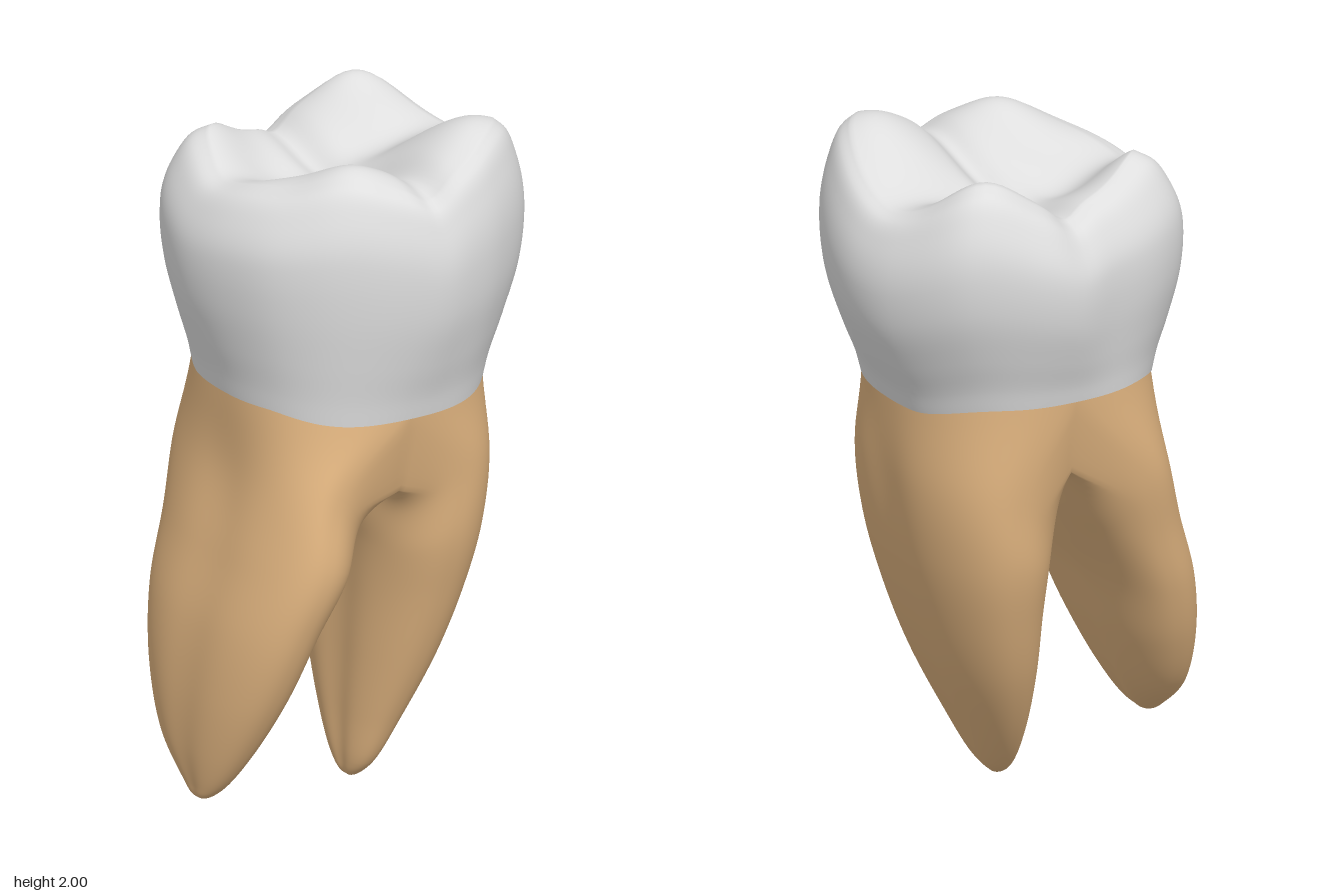
import * as THREE from 'three';
import { mergeGeometries, mergeVertices } from 'three/addons/utils/BufferGeometryUtils.js';

const V = (x, y, z) => new THREE.Vector3(x, y, z);
const { lerp, smoothstep } = THREE.MathUtils;
const pw = (v, e = 0.85) => Math.sign(v) * Math.abs(v) ** e;
const bump = (x, z, cx, cz, sx, sz = sx) =>
  Math.exp(-((x - cx) ** 2) / (2 * sx * sx) - ((z - cz) ** 2) / (2 * sz * sz));

// Skin over closed rings listed from top to bottom, counterclockwise seen from above
function skin(rows) {
  const n = rows[0].length, pos = [], idx = [];
  rows.forEach(r => r.forEach(p => pos.push(p.x, p.y, p.z)));
  for (let i = 0; i < rows.length - 1; i++) {
    for (let j = 0; j < n; j++) {
      const a = i * n + j, b = i * n + (j + 1) % n;
      idx.push(a, a + n, b + n, a, b + n, b);
    }
  }
  const g = new THREE.BufferGeometry();
  g.setAttribute('position', new THREE.Float32BufferAttribute(pos, 3));
  g.setIndex(idx);
  return g;
}

function smooth(g) {
  const m = mergeVertices(g, 1e-4);
  m.computeVertexNormals();
  return m;
}

// Turn columns of control points into rings by running a spline down each column
function ringsFromColumns(columns, steps) {
  const lines = columns.map(c => new THREE.CatmullRomCurve3(c, false, 'centripetal').getPoints(steps));
  return Array.from({ length: steps + 1 }, (_, i) => lines.map(l => l[i]));
}

// Neck line where crown and roots meet: dips at the front, rises at the back
const neck = (c, s, grow = 1) => V(
  0.02 + 0.39 * grow * pw(c),
  1.245 - 0.037 * smoothstep(s, 0.4, 1) + 0.045 * smoothstep(-s, 0.25, 0.9),
  0.4 * grow * pw(s));

// Height of the chewing surface: four cusps, marginal ridge, grooves and pits
function chewHeight(x, z, q) {
  let h = 1.8 + 0.055 * smoothstep(q, 0.15, 0.75);
  h += 0.146 * bump(x, z, 0.33, 0.25, 0.16, 0.15);
  h += 0.122 * bump(x, z, 0.27, -0.31, 0.11, 0.095);
  h += 0.1 * bump(x, z, -0.1, 0.26, 0.105);
  h += 0.1 * bump(x, z, -0.28, -0.27, 0.105);
  // ridges running from the cusps towards the middle
  h += 0.035 * bump(x, z, 0.2, 0.08, 0.1) + 0.03 * bump(x, z, -0.18, 0.09, 0.12, 0.08);
  // main groove, cross groove and pit
  const gx = 0.06 + 0.03 * Math.sin(z * 5);
  h -= 0.035 * Math.exp(-(((x - gx) / 0.05) ** 2));
  h -= 0.012 * Math.exp(-(((z + 0.08) / 0.08) ** 2)) * (1 - Math.exp(-(((x - gx) / 0.1) ** 2)));
  return h - 0.018 * bump(x, z, -0.14, -0.1, 0.1);
}

function crownGeometry() {
  // widest outline as x, z pairs
  const outline = [
    [0.55, -0.03], [0.52, -0.2], [0.4, -0.39], [0.22, -0.47], [0.07, -0.49], [-0.1, -0.44], [-0.28, -0.385],
    [-0.38, -0.31], [-0.43, -0.18], [-0.45, -0.05], [-0.43, 0.1], [-0.37, 0.25], [-0.27, 0.36], [-0.15, 0.43],
    [0, 0.475], [0.08, 0.485], [0.2, 0.465], [0.31, 0.42], [0.45, 0.31], [0.525, 0.15]];
  const curve = new THREE.CatmullRomCurve3(outline.map(([x, z]) => V(x, 0, z)), true);
  const N = 120, center = V(0.05, 0, 0), columns = [], spokes = [];
  // upper wall [height fraction, blend rim to outline], lower wall [height fraction, blend neck to outline]
  const upper = [[0.955, 0.42], [0.86, 0.73], [0.75, 0.94]];
  const lower = [[0.63, 1], [0.45, 0.88], [0.25, 0.5], [0.1, 0.16], [0, 0]];
  for (let j = 0; j < N; j++) {
    const p = curve.getPoint(j / N), a = Math.atan2(p.z, p.x - center.x);
    const base = neck(Math.cos(a), Math.sin(a), 1.008);
    // the chewing surface reaches further out at the front than at the back
    const rim = 0.78 + 0.045 * Math.sin(a) + 0.025 * Math.cos(a) - 0.08 * Math.max(0, Math.cos(a - 2.5)) ** 4;
    const at = q => center.clone().lerp(p, q);
    const r = at(rim);
    r.y = chewHeight(r.x, r.z, rim);
    const rise = f => base.y + f * (r.y - base.y);
    columns.push([
      r.clone(),
      ...upper.map(([f, k]) => at(lerp(rim, 1, k)).setY(rise(f))),
      ...lower.map(([f, w]) => base.clone().lerp(p, w).setY(rise(f)))]);
    spokes.push({ at, rim });
  }
  const rows = [];
  for (let i = 0; i < 36; i++) {
    rows.push(spokes.map(({ at, rim }) => {
      const q = rim * i / 36, p = at(q);
      return p.setY(chewHeight(p.x, p.z, q));
    }));
  }
  return smooth(skin([...rows, ...ringsFromColumns(columns, 40)]));
}

// One root: side is +1 or -1, sections are [outer y, inner y, x min, x max, z min, z max]
function rootGeometry(side, sections, tip) {
  const N = 120, columns = [];
  for (let j = 0; j < N; j++) {
    const t = j / N * Math.PI * 2, c = Math.cos(t), s = -side * Math.sin(t);
    // top ring: the neck outside, the arch between the roots inside
    const start = c > -1e-9 ? neck(side * Math.max(c, 0), s) : neck(0, s);
    if (c < -1e-9) {
      const lip = Math.min(1, -c / 0.28);
      start.x += 0.035 * Math.max(c, -lip);
      start.y -= 0.21 * lip - 0.08 * c;
      start.z *= 1 - 0.08 * lip;
    }
    const column = [start];
    for (const [yOut, yIn, x0, x1, z0, z1] of sections) {
      // flute down the broad faces
      const waist = 1.04 - (c > 0 ? 0.085 : 0.15) * Math.exp(-(((s - 0.08) / 0.3) ** 2));
      column.push(V(
        (x0 + x1) / 2 + side * (x1 - x0) / 2 * pw(c, 0.9) * waist,
        lerp(yOut, yIn, smoothstep(-c, -0.3, 0.8)),
        (z0 + z1) / 2 + (z1 - z0) / 2 * pw(s, 0.95)));
    }
    column.push(V(...tip));
    columns.push(column);
  }
  return skin(ringsFromColumns(columns, 60));
}

export function createModel() {
  const enamel = new THREE.MeshStandardMaterial({ color: 0xdedede });
  enamel.name = 'enamel';
  const dentine = new THREE.MeshStandardMaterial({ color: 0xdbb07d });
  dentine.name = 'root tan';

  const crown = new THREE.Mesh(crownGeometry(), enamel);
  crown.name = 'crown';

  const leftRoot = rootGeometry(1, [
    [1.02, 0.87, -0.03, 0.412, -0.39, 0.38],
    [0.8, 0.75, -0.008, 0.387, -0.385, 0.37],
    [0.6, 0.6, 0.001, 0.338, -0.34, 0.325],
    [0.4, 0.4, 0, 0.268, -0.27, 0.265],
    [0.2, 0.2, -0.002, 0.17, -0.16, 0.19],
    [0.06, 0.06, 0, 0.09, -0.05, 0.13],
    [0.015, 0.015, 0.01, 0.052, 0.01, 0.085]], [0.03, 0, 0.05]);
  const rightRoot = rootGeometry(-1, [
    [1.02, 0.87, -0.39, -0.055, -0.38, 0.41],
    [0.8, 0.75, -0.455, -0.12, -0.34, 0.45],
    [0.6, 0.6, -0.517, -0.2, -0.3, 0.42],
    [0.4, 0.4, -0.547, -0.278, -0.23, 0.355],
    [0.22, 0.22, -0.55, -0.365, -0.12, 0.265],
    [0.11, 0.11, -0.535, -0.44, 0.02, 0.19],
    [0.075, 0.075, -0.525, -0.48, 0.08, 0.15]], [-0.505, 0.065, 0.12]);
  const roots = new THREE.Mesh(smooth(mergeGeometries([leftRoot, rightRoot])), dentine);
  roots.name = 'roots';

  const group = new THREE.Group();
  group.name = 'molar';
  group.add(crown, roots);
  return group;
}
